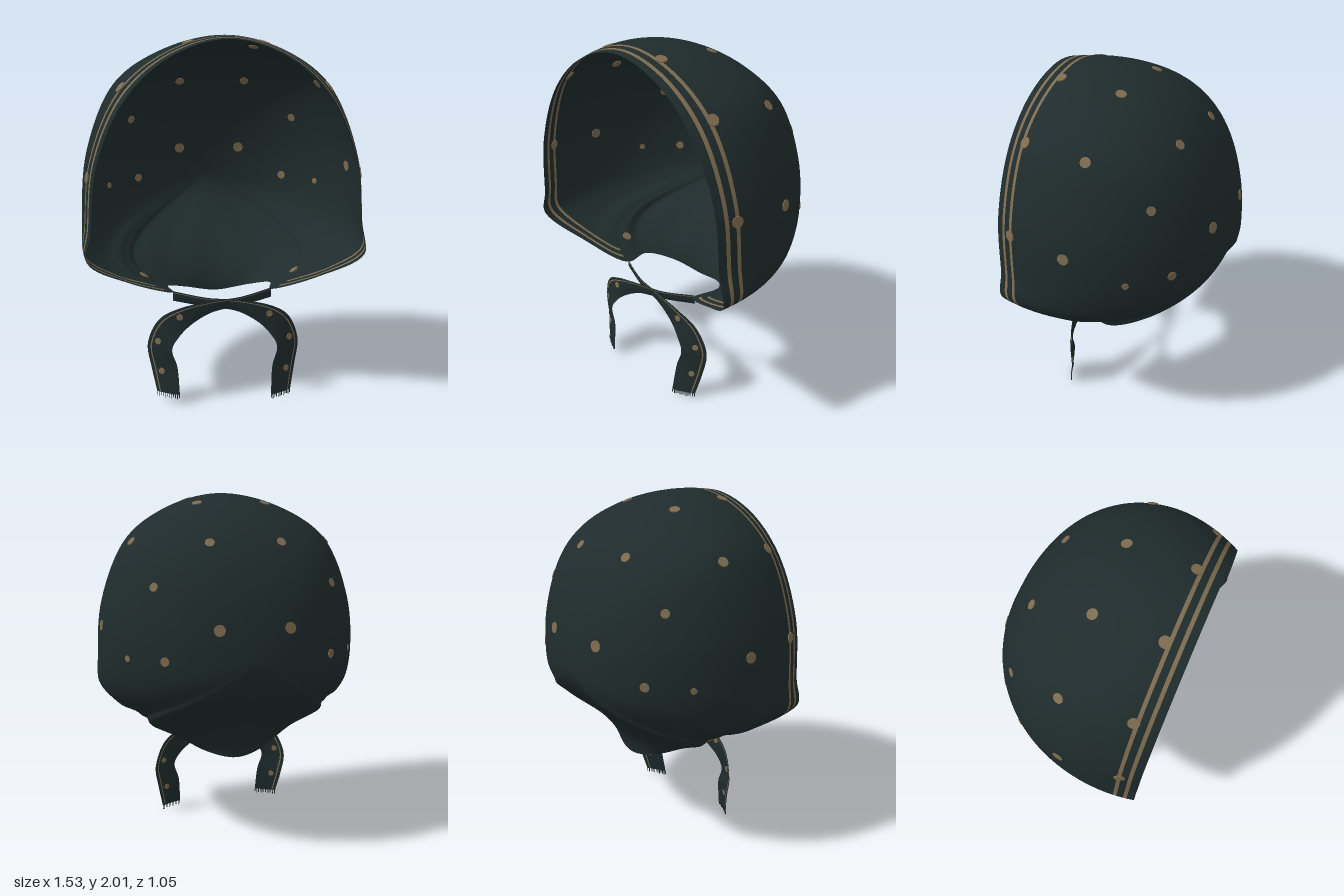
import * as THREE from 'three';

const cloth = new THREE.MeshStandardMaterial({ color: 0x1f2b2c, side: THREE.DoubleSide });
cloth.name = 'dark cloth';
const gold = new THREE.MeshStandardMaterial({ color: 0x7d6b4f, side: THREE.DoubleSide });
gold.name = 'dull gold';

const V = (p) => new THREE.Vector3(...p);

// Half of the meridians, crown to nape: two Bezier handles, then the rim point
const POLE = V([0, 1.15, -0.525]);
const MERIDIANS = [
  [[0, 1.85, -0.46], [0, 2.08, 0], [0, 1.98, 0.52]],
  [[0.21, 1.82, -0.465], [0.36, 2.03, 0], [0.29, 1.895, 0.52]],
  [[0.42, 1.68, -0.475], [0.69, 1.88, 0], [0.515, 1.69, 0.52]],
  [[0.55, 1.4, -0.5], [0.87, 1.47, 0], [0.665, 1.36, 0.52]],
  [[0.56, 1.15, -0.52], [0.91, 1.1, 0], [0.705, 1.02, 0.52]],
  [[0.53, 0.99, -0.535], [0.86, 0.92, 0], [0.73, 0.87, 0.515]],
  [[0.5, 0.9, -0.545], [0.85, 0.82, 0.1], [0.52, 0.71, 0.39]],
  [[0.46, 0.84, -0.55], [0.8, 0.79, 0.15], [0.28, 0.6, 0.26]],
  [[0.38, 0.82, -0.55], [0.72, 0.76, 0.05], [0.3, 0.58, 0.08]],
  [[0.2, 0.87, -0.548], [0.38, 0.71, -0.05], [0.19, 0.525, -0.05]],
  [[0, 0.93, -0.545], [0, 0.72, -0.1], [0, 0.48, -0.1]],
];

// Closed guide curve through one handle of every meridian, mirrored to -x
function guide(k) {
  const half = MERIDIANS.map((m) => V(m[k]));
  const other = half.slice(1, -1).reverse().map((p) => new THREE.Vector3(-p.x, p.y, p.z));
  return new THREE.CatmullRomCurve3([...half, ...other], true);
}

// Grid of quads, sorted into cloth and gold groups
function gridGeometry(rows, cols, point, isGold, closed) {
  const pos = [], plain = [], trim = [];
  const stride = closed ? cols : cols + 1;
  for (let i = 0; i <= rows; i++) {
    for (let j = 0; j < stride; j++) pos.push(...point(i, j).toArray());
  }
  const id = (i, j) => (closed && i === 0 ? 0 : i * stride + (j % stride));
  for (let i = 0; i < rows; i++) {
    for (let j = 0; j < cols; j++) {
      const a = id(i, j), b = id(i + 1, j), c = id(i + 1, j + 1), d = id(i, j + 1);
      const list = isGold(i, j) ? trim : plain;
      list.push(a, b, c);
      if (a !== d) list.push(a, c, d);
    }
  }
  const g = new THREE.BufferGeometry();
  g.setAttribute('position', new THREE.Float32BufferAttribute(pos, 3));
  g.setIndex([...plain, ...trim]);
  g.addGroup(0, plain.length, 0);
  g.addGroup(plain.length, trim.length, 1);
  g.computeVertexNormals();
  return g;
}

// Hood shell with two stripes behind the face opening and gathers at the neck
function hoodGeometry() {
  const guides = [0, 1, 2].map(guide);
  const N = 160, BODY = 36;
  const ts = [];
  for (let i = 0; i <= BODY; i++) ts.push(0.925 * i / BODY);
  ts.push(0.938, 0.961, 0.974, 1);
  const centre = V([0, 1.15, 0]);
  const point = (i, j) => {
    const t = ts[i], u = j / N;
    const [p1, p2, p3] = guides.map((c) => c.getPoint(u));
    const p = new THREE.CubicBezierCurve3(POLE, p1, p2, p3).getPoint(t);
    const low = THREE.MathUtils.smoothstep(-Math.cos(u * Math.PI * 2), 0.1, 0.8);
    const fold = 0.09 * low * t ** 3 * (1 - t) * Math.cos(u * Math.PI * 2 * 20);
    return p.sub(centre).multiplyScalar(1 + fold).add(centre);
  };
  const isGold = (i, j) => (i === BODY || i === BODY + 2) && (j < N * 0.35 || j >= N * 0.65);
  return gridGeometry(ts.length - 1, N, point, isGold, true);
}

// Thin dot passing through the nearest bit of a surface, so it shows on both sides
function addDot(group, surface, target, radius) {
  const pos = surface.attributes.position, nor = surface.attributes.normal;
  const q = new THREE.Vector3();
  let best = 0, bestD = Infinity;
  for (let i = 0; i < pos.count; i++) {
    const d = q.fromBufferAttribute(pos, i).distanceToSquared(target);
    if (d < bestD) { bestD = d; best = i; }
  }
  const n = new THREE.Vector3().fromBufferAttribute(nor, best);
  q.fromBufferAttribute(pos, best);
  const dot = new THREE.Mesh(new THREE.CylinderGeometry(radius, radius, 0.008, 14), gold);
  dot.name = 'dot';
  dot.position.copy(target).addScaledVector(n, q.sub(target).dot(n));
  dot.quaternion.setFromUnitVectors(new THREE.Vector3(0, 1, 0), n);
  group.add(dot);
}

// Ribbon tie: centre points and half-width vectors
const TIE_PATH = [
  [0.28, 0.575, 0.25], [0.1, 0.555, 0.32], [-0.08, 0.54, 0.355], [-0.22, 0.495, 0.37],
  [-0.31, 0.43, 0.365], [-0.362, 0.32, 0.355], [-0.34, 0.2, 0.36], [-0.32, 0.05, 0.385],
];
const TIE_WIDTH = [
  [0, 0.03, 0.005], [0, 0.028, 0.005], [-0.01, 0.033, 0.005], [-0.03, 0.05, 0],
  [-0.055, 0.045, -0.02], [-0.066, 0.01, -0.035], [-0.072, -0.005, -0.035], [-0.062, 0, -0.032],
];

function makeTie(side) {
  const tie = new THREE.Group();
  tie.name = side > 0 ? 'rightTie' : 'leftTie';
  const path = new THREE.CatmullRomCurve3(TIE_PATH.map(V));
  const width = new THREE.CatmullRomCurve3(TIE_WIDTH.map(V));
  const vs = [-1, -0.4, 0.2, 0.66, 0.76, 1];
  const ROWS = 50;
  const at = (t, v) => {
    const p = path.getPoint(t).addScaledVector(width.getPoint(t), v);
    p.z -= 0.006 * v * v;
    if (side < 0) {
      p.x *= -1;
      p.y -= 0.03 * t * t;
      p.z -= 0.015 * Math.sin(Math.PI * t);
    }
    return p;
  };
  const geo = gridGeometry(ROWS, vs.length - 1, (i, j) => at(i / ROWS, vs[j]), (i, j) => j === 3, false);
  const ribbon = new THREE.Mesh(geo, [cloth, gold]);
  ribbon.name = 'ribbon';
  tie.add(ribbon);
  for (const t of [0.46, 0.68, 0.88]) addDot(tie, geo, at(t, 0.25), 0.018);
  // Frayed end
  for (let i = 0; i < 12; i++) {
    const len = 0.018 + 0.008 * ((i * 5) % 3) / 2;
    const thread = new THREE.Mesh(new THREE.BoxGeometry(0.004, len, 0.004), cloth);
    thread.name = 'fringeThread';
    thread.position.copy(at(1, -0.96 + 1.92 * i / 11));
    thread.position.y -= len / 2;
    tie.add(thread);
  }
  return tie;
}

// Dots on the +x half of the hood: position and radius
const DOTS = [
  [0.2, 1.76, -0.31, 0.026], [0.5, 1.52, -0.29, 0.024], [0.19, 1.31, -0.49, 0.031],
  [0.455, 1.14, -0.38, 0.025], [0.62, 1.13, -0.2, 0.018], [0.57, 1.74, 0.03, 0.027],
  [0.2, 1.96, 0.035, 0.028], [0.19, 1.95, 0.39, 0.03], [0.53, 1.74, 0.395, 0.03],
  [0.74, 1.27, 0.08, 0.03], [0.7, 1.29, 0.41, 0.03], [0.44, 0.66, 0.12, 0.028],
];

export function createModel() {
  const model = new THREE.Group();
  model.name = 'tiedHeadscarf';

  const geo = hoodGeometry();
  const hood = new THREE.Mesh(geo, [cloth, gold]);
  hood.name = 'hood';
  model.add(hood);

  const dots = new THREE.Group();
  dots.name = 'hoodDots';
  for (const s of [1, -1]) {
    for (const [x, y, z, r] of DOTS) addDot(dots, geo, V([s * x, y, z]), r);
  }
  model.add(dots);

  // Ties cross in front of the throat; each hangs on the opposite side
  model.add(makeTie(1), makeTie(-1));
  return model;
}
